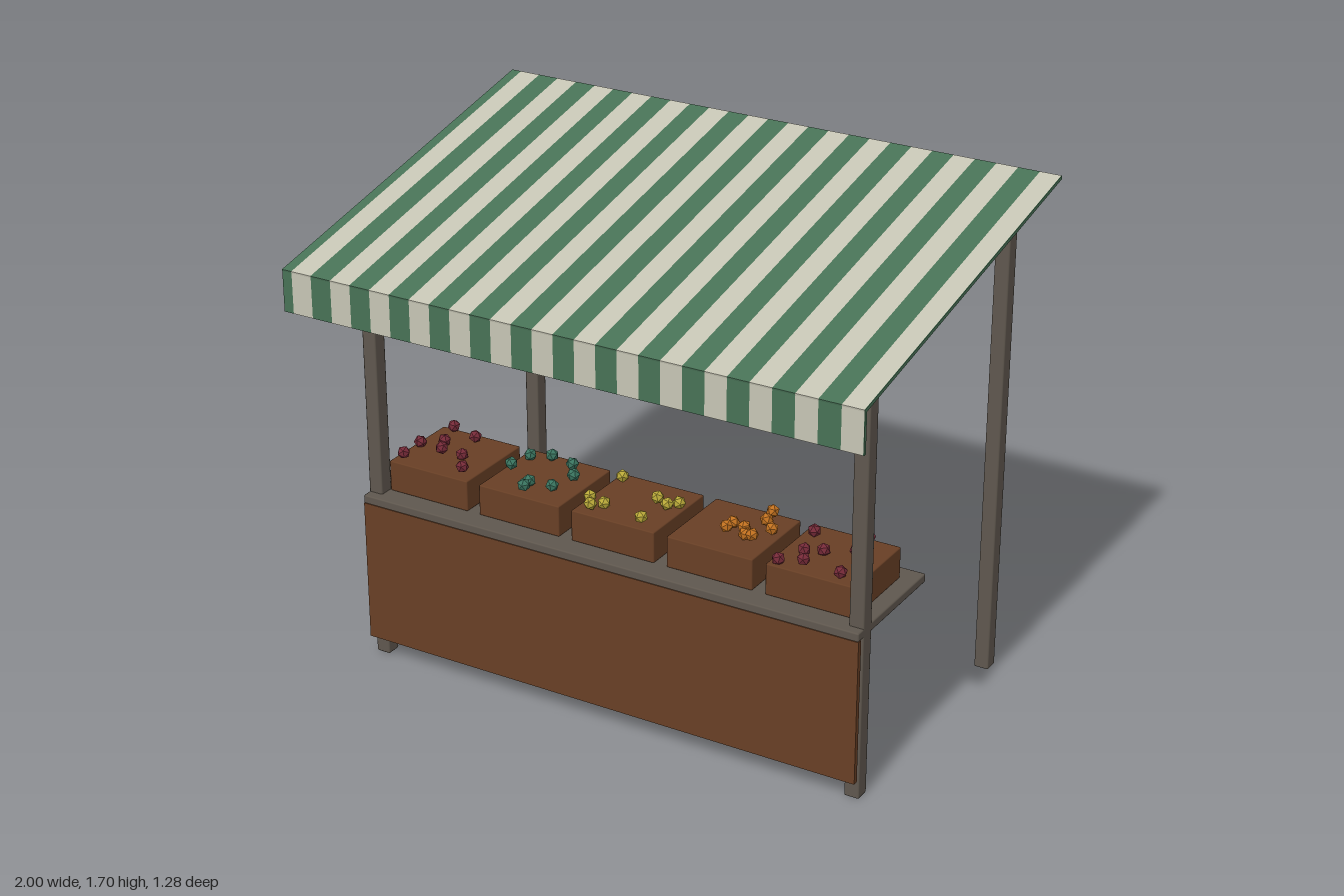
import * as THREE from 'three';
import { RoundedBoxGeometry } from 'three/addons/geometries/RoundedBoxGeometry.js';

const paint = (name, color, opts = {}) => {
  const m = new THREE.MeshStandardMaterial({ color, ...opts });
  m.name = name;
  return m;
};

export function createModel() {
  const model = new THREE.Group();
  model.name = 'marketStall';
  const mats = {
    grey: paint('weathered wood', 0x5f574e),
    brown: paint('brown wood', 0x683f25),
    green: paint('green cloth', 0x487256),
    cream: paint('cream cloth', 0xc6c5b4),
    red: paint('red produce', 0x752a38, { flatShading: true }),
    teal: paint('green produce', 0x3a7560, { flatShading: true }),
    yellow: paint('yellow produce', 0xb8a838, { flatShading: true }),
    orange: paint('orange produce', 0xc0701f, { flatShading: true }),
  };

  // Box given by its min and max corners; bevel > 0 softens the edges
  const box = (parent, name, mat, [x0, y0, z0], [x1, y1, z1], bevel = 0) => {
    const size = [x1 - x0, y1 - y0, z1 - z0];
    const geo = bevel ? new RoundedBoxGeometry(...size, 1, bevel) : new THREE.BoxGeometry(...size);
    const mesh = new THREE.Mesh(geo, mat);
    mesh.name = name;
    mesh.position.set((x0 + x1) / 2, (y0 + y1) / 2, (z0 + z1) / 2);
    parent.add(mesh);
    return mesh;
  };

  // Four posts, the back pair taller
  for (const x of [-0.87, 0.87]) {
    box(model, 'frontPost', mats.grey, [x - 0.025, 0, 0.343], [x + 0.025, 1.45, 0.395], 0.005);
    box(model, 'backPost', mats.grey, [x - 0.025, 0, -0.57], [x + 0.025, 1.66, -0.518], 0.005);
  }

  // Counter and its front panel
  box(model, 'counterTop', mats.grey, [-0.895, 0.558, -0.015], [0.895, 0.587, 0.428], 0.005);
  box(model, 'frontPanel', mats.brown, [-0.895, 0.07, 0.41], [0.895, 0.558, 0.427]);

  // Striped cloth: a sloping roof and a hanging valance
  const zEdge = 0.64, yFront = 1.414, yBack = 1.69, thick = 0.012;
  const slope = Math.atan2(yBack - yFront, 2 * zEdge);
  const half = Math.hypot(yBack - yFront, 2 * zEdge) / 2;
  const roof = new THREE.Group();
  roof.name = 'canopyRoof';
  roof.position.set(0, (yFront + yBack) / 2, 0);
  roof.rotation.x = slope;
  const valance = new THREE.Group();
  valance.name = 'canopyValance';
  model.add(roof, valance);
  const addStripe = (mat, x0, x1) => {
    box(roof, 'roofStripe', mat, [x0, -thick / 2, -half], [x1, thick / 2, half]);
    box(valance, 'valanceStripe', mat, [x0, 1.28, zEdge - thick], [x1, 1.42, zEdge]);
  };
  const stripe = 0.0728, rim = 0.002;
  addStripe(mats.green, -1, -0.965);
  for (let i = 0; i < 27; i++) {
    const x = -0.965 + i * stripe;
    addStripe(i % 2 ? mats.green : mats.cream, x, Math.min(x + stripe, 1 - rim));
  }
  addStripe(mats.green, 1 - rim, 1); // hem

  // Produce crates on the counter, with [x, z] of each loose piece on top
  const crates = [
    ['red', [[-0.82, 0.21], [-0.8, 0.33], [-0.785, 0.07], [-0.76, 0.16], [-0.715, 0.24],
      [-0.68, 0.1], [-0.65, 0.22], [-0.58, 0.32]]],
    ['teal', [[-0.46, 0.11], [-0.46, 0.22], [-0.39, 0.09], [-0.36, 0.27], [-0.34, 0.33],
      [-0.3, 0.11], [-0.28, 0.26], [-0.245, 0.19]]],
    ['yellow', [[-0.125, 0.09], [-0.12, 0.29], [-0.1, 0.32], [-0.075, 0.28], [0.065, 0.19],
      [0.105, 0.2], [0.125, 0.16], [0.09, 0.33]]],
    ['orange', [[0.335, 0.19], [0.345, 0.25], [0.41, 0.075], [0.405, 0.24], [0.43, 0.15],
      [0.465, 0.18], [0.38, 0.2], [0.44, 0.26]]],
    ['red', [[0.57, 0.33], [0.59, 0.14], [0.615, 0.25], [0.66, 0.21], [0.65, 0.32],
      [0.745, 0.08], [0.77, 0.31], [0.76, 0.19]]],
  ];
  const piece = new THREE.IcosahedronGeometry(0.022, 0);
  crates.forEach(([color, spots], i) => {
    const x = (i - 2) * 0.345;
    const group = new THREE.Group();
    group.name = 'produceCrate';
    model.add(group);
    box(group, 'crate', mats.brown, [x - 0.15, 0.587, 0.05], [x + 0.15, 0.692, 0.355], 0.004);
    spots.forEach(([px, pz], k) => {
      const fruit = new THREE.Mesh(piece, mats[color]);
      fruit.name = 'produce';
      fruit.position.set(px, 0.706 + 0.008 * ((k * 2) % 3), pz);
      fruit.rotation.set(k * 1.3, k * 0.7, i);
      group.add(fruit);
    });
  });

  // Storage box behind the counter: grey body with brown ends
  const storage = new THREE.Group();
  storage.name = 'storageBox';
  model.add(storage);
  box(storage, 'boxBody', mats.grey, [-0.295, 0, -0.5], [0, 0.205, -0.195]);
  box(storage, 'boxRightEnd', mats.brown, [-0.373, 0, -0.5], [-0.295, 0.205, -0.195]);
  box(storage, 'boxLeftEnd', mats.brown, [0, 0, -0.5], [0.027, 0.205, -0.195]);

  return model;
}
